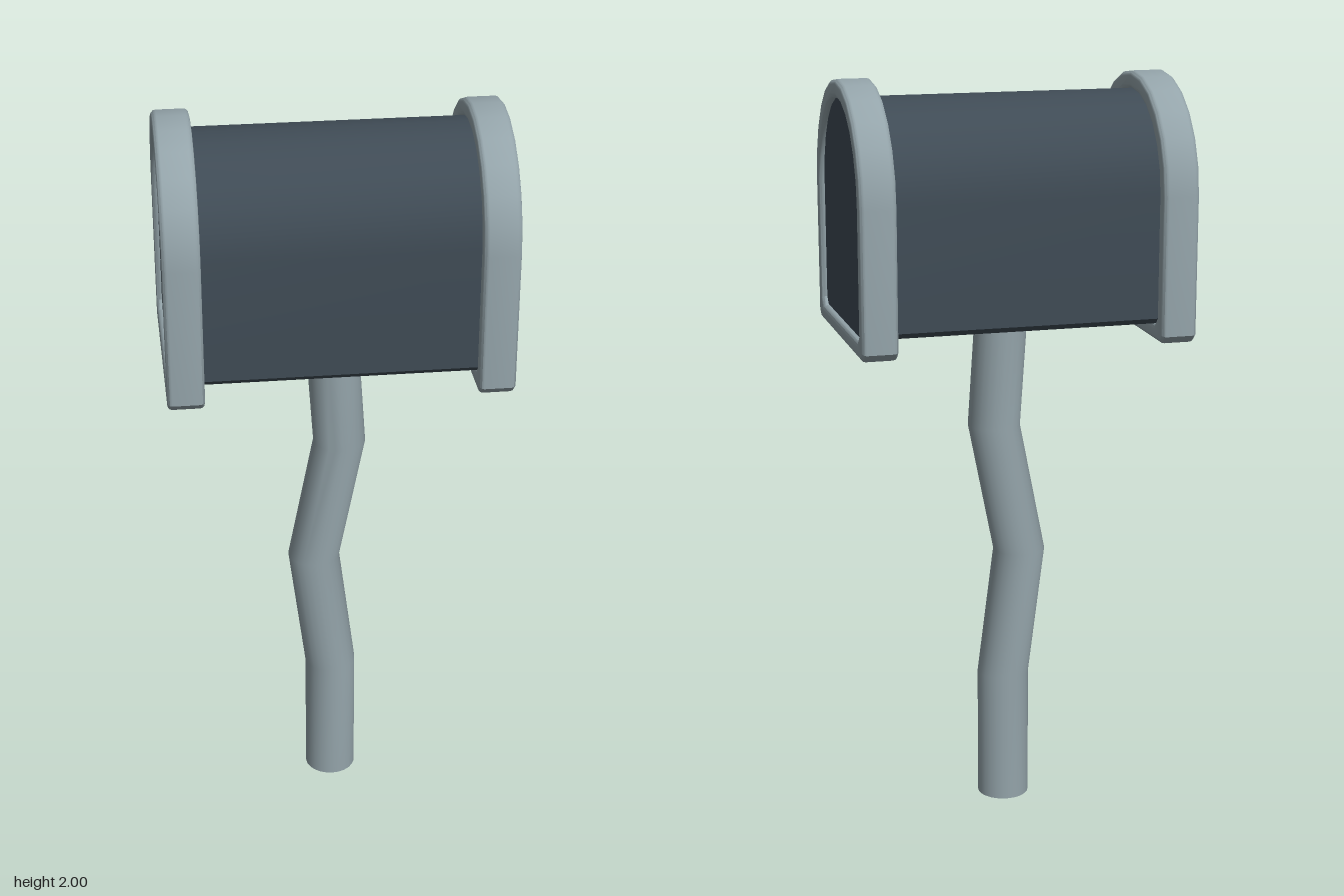
import * as THREE from 'three';
import { toCreasedNormals } from 'three/addons/utils/BufferGeometryUtils.js';

const SPRING = 1.71; // height where the straight sides turn into the arch

// Arched outline with a chamfered flat bottom
function archPoints(radius, bottom, chamfer, segments = 12) {
  const pts = [
    new THREE.Vector2(-radius, bottom + chamfer),
    new THREE.Vector2(-radius + chamfer, bottom),
    new THREE.Vector2(radius - chamfer, bottom),
    new THREE.Vector2(radius, bottom + chamfer),
  ];
  for (let i = 0; i <= segments; i++) {
    const a = (i / segments) * Math.PI;
    pts.push(new THREE.Vector2(Math.cos(a) * radius, SPRING + Math.sin(a) * radius));
  }
  return pts;
}

// Extrude an outline along x, centred on x = 0
function extrudeAlongX(shape, length, bevel = 0) {
  const geo = new THREE.ExtrudeGeometry(shape, {
    depth: length - 2 * bevel,
    bevelEnabled: bevel > 0,
    bevelSize: bevel,
    bevelThickness: bevel,
    bevelOffset: -bevel,
    bevelSegments: 3,
  });
  geo.translate(0, 0, bevel - length / 2);
  geo.rotateY(Math.PI / 2);
  return toCreasedNormals(geo, 0.6);
}

export function createModel() {
  const model = new THREE.Group();
  model.name = 'mailbox';

  const lightMetal = new THREE.MeshStandardMaterial({ color: 0x94a4aa, side: THREE.DoubleSide });
  lightMetal.name = 'light grey';
  const darkMetal = new THREE.MeshStandardMaterial({ color: 0x3f4b55 });
  darkMetal.name = 'dark slate';

  const add = (name, geo, material) => {
    const mesh = new THREE.Mesh(geo, material);
    mesh.name = name;
    model.add(mesh);
    return mesh;
  };

  // Box body, its ends sit just inside the rims
  add('body', extrudeAlongX(new THREE.Shape(archPoints(0.245, 1.375, 0.015)), 0.85), darkMetal);

  // Raised rim around each end
  const rimShape = new THREE.Shape(archPoints(0.29, 1.33, 0.02));
  rimShape.holes.push(new THREE.Path(archPoints(0.243, 1.373, 0.02).reverse()));
  const rimGeo = extrudeAlongX(rimShape, 0.094, 0.012);
  for (const [name, side] of [['leftRim', 1], ['rightRim', -1]]) {
    add(name, rimGeo, lightMetal).position.x = side * 0.392;
  }

  // Crooked post: a tube, open at the bottom, whose rings shift sideways
  const rings = [[0, 0], [0, 0.36], [-0.045, 0.715], [0.025, 1.07], [0.004, 1.385]];
  const postGeo = new THREE.CylinderGeometry(0.07, 0.07, rings.length - 1, 24, rings.length - 1, true);
  const pos = postGeo.attributes.position;
  for (let i = 0; i < pos.count; i++) {
    const [x, y] = rings[Math.round(pos.getY(i) + (rings.length - 1) / 2)];
    pos.setX(i, pos.getX(i) + x);
    pos.setY(i, y);
  }
  add('post', toCreasedNormals(postGeo, 0.6), lightMetal);

  return model;
}
